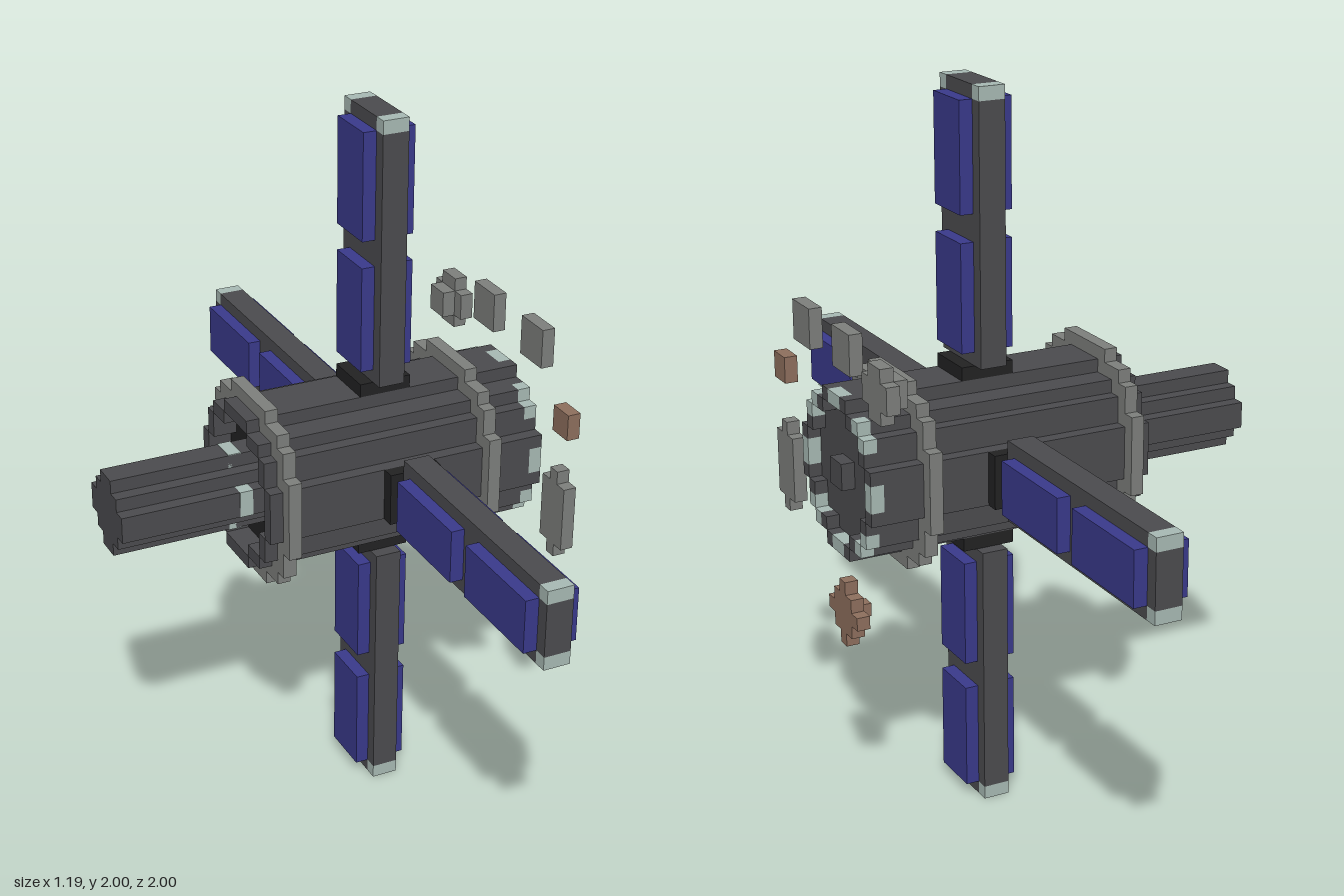
import * as THREE from 'three';

const U = 1 / 27; // one block
const mat = (name, color) => {
  const m = new THREE.MeshStandardMaterial({ color });
  m.name = name;
  return m;
};

export function createModel() {
  const hull = mat('dark hull grey', 0x4c4c4f);
  const trim = mat('mid grey', 0x7e807d);
  const light = mat('pale green grey', 0xa9bbb5);
  const blue = mat('solar blue', 0x3a3a8c);
  const black = mat('joint black', 0x222223);
  const tan = mat('rusty tan', 0x8f705e);

  const root = new THREE.Group();
  const craft = new THREE.Group();
  craft.name = 'spacecraft';
  craft.position.y = 1;
  root.add(craft);

  // Box from block coordinates [min, max] on each axis
  const box = (parent, name, m, [x0, x1], [y0, y1], [z0, z1]) => {
    const mesh = new THREE.Mesh(new THREE.BoxGeometry((x1 - x0) * U, (y1 - y0) * U, (z1 - z0) * U), m);
    mesh.position.set((x0 + x1) / 2 * U, (y0 + y1) / 2 * U, (z0 + z1) / 2 * U);
    mesh.name = name;
    parent.add(mesh);
    return mesh;
  };

  // Stepped round outline; half[i] is the half width of row i from the centre
  const outline = (half) => {
    const q = [];
    half.forEach((w, i) => q.push([w, i], [w, i + 1]));
    const back = [...q].reverse();
    return [
      ...q,
      ...back.map(([x, y]) => [-x, y]),
      ...q.map(([x, y]) => [-x, -y]),
      ...back.map(([x, y]) => [x, -y]),
    ].map(([x, y]) => new THREE.Vector2(x * U, y * U));
  };
  // Stepped prism along x, with an optional stepped hole
  const prism = (name, m, half, x0, x1, hole) => {
    const shape = new THREE.Shape(outline(half));
    if (hole) shape.holes.push(new THREE.Path(outline(hole)));
    const geo = new THREE.ExtrudeGeometry(shape, { depth: (x1 - x0) * U, bevelEnabled: false });
    geo.rotateY(Math.PI / 2);
    geo.translate(x0 * U, 0, 0);
    const mesh = new THREE.Mesh(geo, m);
    mesh.name = name;
    craft.add(mesh);
  };

  const R3 = [3, 2, 1];
  const R5 = [5, 5, 4, 4, 2];
  const R6 = [6, 6, 5, 5, 4, 2];
  const R7 = [7, 7, 7, 6, 6, 5, 3];

  // Hull, open rear recess, tail and bands
  prism('hull', hull, R6, -4, 15);
  prism('rearRim', hull, R6, -6, -4, R5);
  prism('rearRecess', black, R5, -4.2, -4);
  prism('tail', hull, R3, -16, -4);
  prism('rearBand', trim, R7, -5, -4, R6);
  prism('frontBand', trim, R7, 11, 12, R6);

  // Pale collar blocks at the root of the tail
  for (const s of [-1, 1]) {
    const span = s > 0 ? [2, 3.05] : [-3.05, -2];
    box(craft, 'tailCollar', light, [-7, -6], span, [-1, 1]);
    box(craft, 'tailCollar', light, [-7, -6], [-1, 1], span);
  }

  // Front rim of alternating dark and pale blocks, with a central hub
  const inside = (a, b) => b < 6 && a < R6[Math.floor(b)];
  for (let y = -5.5; y < 6; y++) {
    for (let z = -5.5; z < 6; z++) {
      const a = Math.abs(z), b = Math.abs(y);
      if (!inside(a, b) || (inside(a + 1, b) && inside(a, b + 1))) continue;
      const pale = Math.min(a, b) < 1 || a + b === 8;
      box(craft, 'frontRim', pale ? light : hull, [15, 16], [y - 0.5, y + 0.5], [z - 0.5, z + 0.5]);
    }
  }
  box(craft, 'frontHub', hull, [15, 16], [-1, 1], [-1, 1]);

  // Four solar arms
  for (let i = 0; i < 4; i++) {
    const arm = new THREE.Group();
    arm.name = 'solarArm';
    arm.rotation.x = i * Math.PI / 2;
    craft.add(arm);
    box(arm, 'armJoint', black, [3, 7], [6, 7], [-2, 2]);
    box(arm, 'armBeam', hull, [4, 6], [7, 26], [-3, 3]);
    box(arm, 'armTip', hull, [4, 6], [26, 27], [-2, 2]);
    for (const z of [-3, 2]) box(arm, 'tipCorner', light, [4, 6], [26, 27], [z, z + 1]);
    for (const x of [3, 6]) {
      for (const y of [8, 18]) box(arm, 'solarPanel', blue, [x, x + 1], [y, y + 8], [-2, 2]);
    }
  }

  // Loose fragments drifting by the front end
  const F = [15, 16];
  const piece = (name, m, parts) => {
    const g = new THREE.Group();
    g.name = name;
    craft.add(g);
    parts.forEach(([y, z, x = F]) => box(g, name + 'Block', m, x, y, z));
  };
  piece('squareFragment', trim, [[[8, 11], [4, 7]]]);
  piece('squareFragment', trim, [[[8, 11], [-3, 0]]]);
  piece('crossFragment', trim, [
    [[7, 9], [-9, -5]], [[6, 10], [-8, -6]], [[7, 9], [-8, -6], [14, 15]],
  ]);
  piece('smallFragment', tan, [[[4, 6], [9, 11]]]);
  piece('longFragment', trim, [
    [[-5, 0], [8, 11]], [[0, 1], [9, 10]], [[-6, -5], [9, 10]],
  ]);
  piece('starFragment', tan, [
    [[-12, -9], [-2, 1]], [[-13, -8], [-1, 0]], [[-11, -10], [-3, 2]], [[-11, -10], [-1, 0], [14, 15]],
  ]);

  return root;
}
